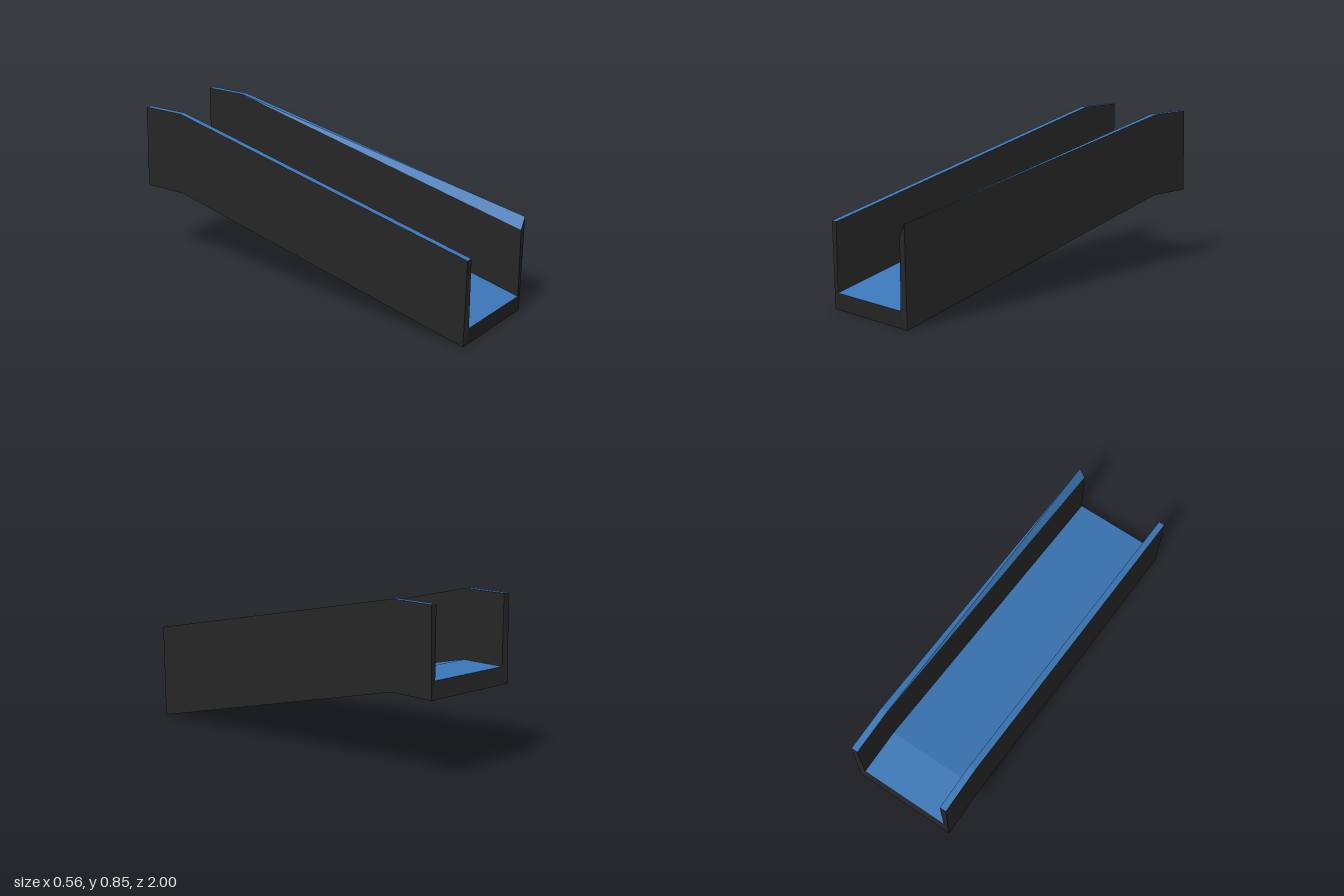
import * as THREE from 'three';

export function createModel() {
  const group = new THREE.Group();
  const blue = new THREE.MeshStandardMaterial({ color: 0x3a77b7 });
  const black = new THREE.MeshStandardMaterial({ color: 0x262626 });
  blue.name = 'blue';
  black.name = 'black';

  // The channel is turned very slightly about the upright axis
  const SKEW = 0.0125;
  const place = (x, y, z) => new THREE.Vector3(x - SKEW * z, y, z + SKEW * x);

  // U-shaped cross-section, counterclockwise seen from the front
  const OUT = 0.27, IN = 0.236;
  const section = (zLow, zHigh, base, floor, rim, outerRim) => [
    place(-OUT, base, zLow), place(OUT, base, zLow),
    place(OUT, outerRim, zHigh), place(IN, rim, zHigh),
    place(IN, floor, zHigh), place(-IN, floor, zHigh),
    place(-IN, rim, zHigh), place(-OUT, rim, zHigh),
  ];
  const sections = [
    section(0.988, 0.997, 0.003, 0.09, 0.44, 0.5),
    section(-0.75, -0.75, 0.414, 0.5, 0.85, 0.85),
    section(-0.997, -0.988, 0.414, 0.5, 0.85, 0.85),
  ];

  const addMesh = (name, points, material) => {
    const geometry = new THREE.BufferGeometry().setFromPoints(points);
    geometry.computeVertexNormals();
    const mesh = new THREE.Mesh(geometry, material);
    mesh.name = name;
    group.add(mesh);
  };

  // Long faces, one strip for each edge of the section
  const strips = [
    ['underside', blue], ['leftOuterWall', black], ['leftRim', blue], ['leftInnerWall', black],
    ['floor', blue], ['rightInnerWall', black], ['rightRim', blue], ['rightOuterWall', black],
  ];
  strips.forEach(([name, material], i) => {
    const j = (i + 1) % strips.length;
    const points = [];
    for (let k = 0; k < sections.length - 1; k++) {
      const [a, b, c, d] = [sections[k][i], sections[k][j], sections[k + 1][j], sections[k + 1][i]];
      points.push(a, d, c, a, c, b);
    }
    addMesh(name, points, material);
  });

  // End faces: base and two walls
  const endFaces = [[0, 1, 4], [0, 4, 5], [1, 2, 3], [1, 3, 4], [0, 5, 6], [0, 6, 7]].flat();
  addMesh('frontEnd', endFaces.map((i) => sections[0][i]), black);
  addMesh('backEnd', endFaces.map((i) => sections[2][i]).reverse(), black);

  return group;
}
